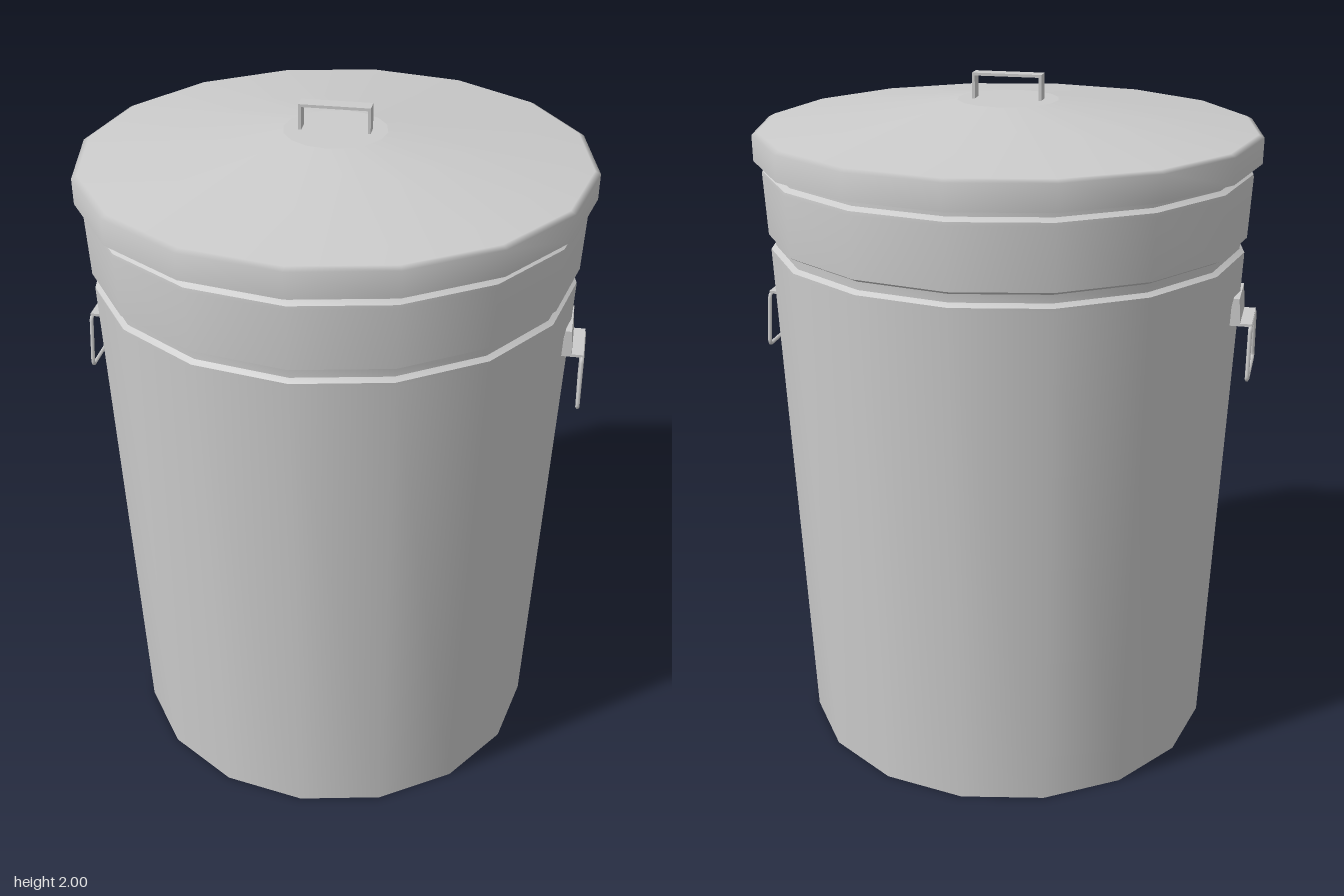
import * as THREE from 'three';
import { toCreasedNormals } from 'three/addons/utils/BufferGeometryUtils.js';

const SIDES = 16;
const grey = new THREE.MeshStandardMaterial({ color: 0xcccccc, side: THREE.DoubleSide });

function add(parent, name, geometry, x = 0, y = 0, z = 0) {
  const mesh = new THREE.Mesh(geometry, grey);
  mesh.name = name;
  mesh.position.set(x, y, z);
  parent.add(mesh);
  return mesh;
}

// Profile of [radius, height] pairs, listed from the bottom up
function lathe(profile) {
  return new THREE.LatheGeometry(profile.map(([r, y]) => new THREE.Vector2(r, y)), SIDES);
}

// Closed wire with rounded corners through points in the z-y plane
function wireLoop(corners, round, radius) {
  const pts = corners.map(([z, y]) => new THREE.Vector3(0, y, z));
  const path = new THREE.CurvePath();
  const towards = (a, b) => a.clone().add(b.clone().sub(a).setLength(round));
  pts.forEach((p, i) => {
    const prev = pts[(i + pts.length - 1) % pts.length];
    const next = pts[(i + 1) % pts.length];
    path.add(new THREE.QuadraticBezierCurve3(towards(p, prev), p, towards(p, next)));
    path.add(new THREE.LineCurve3(towards(p, next), towards(next, p)));
  });
  return new THREE.TubeGeometry(path, 72, radius, 6, true);
}

function sideHandle(name) {
  const handle = new THREE.Group();
  handle.name = name;
  // Folded bracket: upright plate against the wall, shelf holding the wire
  const fold = new THREE.Shape([
    [0.655, 1.325], [0.725, 1.325], [0.725, 1.333], [0.692, 1.333],
    [0.687, 1.405], [0.67, 1.405],
  ].map(([x, y]) => new THREE.Vector2(x, y)));
  const bracket = new THREE.ExtrudeGeometry(fold, { depth: 0.16, bevelEnabled: false });
  add(handle, 'bracket', bracket, 0, 0, -0.08);
  // Hanging trapezoid wire
  const wire = wireLoop([[-0.083, 1.325], [0.083, 1.325], [0.107, 1.172], [-0.107, 1.172]], 0.014, 0.006);
  add(handle, 'wireGrip', wire, 0.722);
  return handle;
}

export function createModel() {
  const bin = new THREE.Group();
  bin.name = 'bin';

  // Tapered body with two pressed grooves near the top
  const body = lathe([
    [0, 0], [0.62, 0], [0.687, 1.51], [0.687, 1.52], [0.673, 1.53],
    [0.674, 1.553], [0.692, 1.563], [0.701, 1.735], [0.7, 1.745],
    [0.685, 1.755], [0.685, 1.8],
  ]);
  add(bin, 'body', toCreasedNormals(body, 0.6));

  // Lid: underside, softly shaded rim and dome, flat centre
  const lid = new THREE.Group();
  lid.name = 'lid';
  bin.add(lid);
  add(lid, 'lidUnderside', lathe([[0.68, 1.775], [0.723, 1.775]]));
  add(lid, 'lidDome', lathe([[0.723, 1.775], [0.724, 1.848], [0.708, 1.856], [0.145, 1.928]]));
  add(lid, 'lidCentre', lathe([[0.145, 1.928], [0, 1.928]]));

  // Flat strap handle on the lid
  const strap = new THREE.Shape([
    [-0.1, 1.92], [-0.1, 2], [0.1, 2], [0.1, 1.92],
    [0.092, 1.92], [0.092, 1.992], [-0.092, 1.992], [-0.092, 1.92],
  ].map(([x, y]) => new THREE.Vector2(x, y)));
  add(lid, 'lidHandle', new THREE.ExtrudeGeometry(strap, { depth: 0.044, bevelEnabled: false }), 0, 0, -0.022);

  // Side handles, one per side
  const right = sideHandle('rightHandle');
  right.rotation.y = Math.PI;
  bin.add(sideHandle('leftHandle'), right);

  return bin;
}
